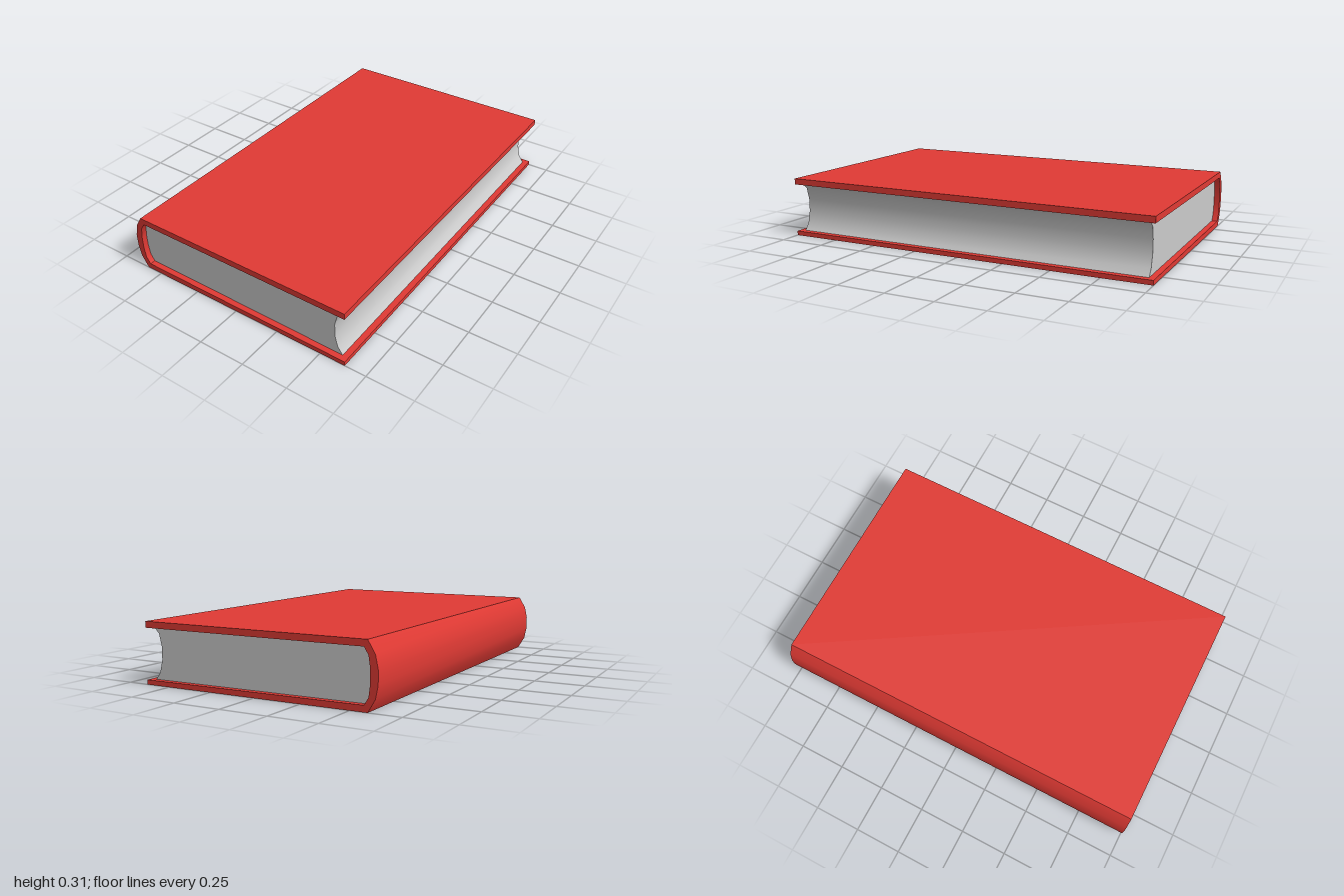
import * as THREE from 'three';
import { toCreasedNormals } from 'three/addons/utils/BufferGeometryUtils.js';

// Extrude an x/y profile along z, centred, smooth across the shallow curve facets only
function prism(name, points, length, color) {
  const shape = new THREE.Shape(points.map(([x, y]) => new THREE.Vector2(x, y)));
  const geometry = new THREE.ExtrudeGeometry(shape, { depth: length, bevelEnabled: false });
  geometry.translate(0, 0, -length / 2);
  const mesh = new THREE.Mesh(
    toCreasedNormals(geometry, Math.PI / 6),
    new THREE.MeshStandardMaterial({ color })
  );
  mesh.name = name;
  return mesh;
}

export function createModel() {
  const book = new THREE.Group();
  book.name = 'book';

  // Rounded spine, outside and inside, from top to bottom
  const spineOuter = [[-0.588, 0.313], [-0.625, 0.252], [-0.638, 0.19], [-0.638, 0.123], [-0.625, 0.061], [-0.588, 0]];
  const spineInner = [[-0.57, 0.281], [-0.592, 0.247], [-0.6, 0.19], [-0.6, 0.123], [-0.592, 0.066], [-0.57, 0.031]];

  // Hollow fore edge of the pages, from bottom to top
  const foreEdge = [[0.606, 0.0235], [0.579, 0.061], [0.564, 0.123], [0.564, 0.19], [0.579, 0.252], [0.606, 0.281]];

  // Cover: both boards and the spine as one wrapped profile
  const cover = [
    ...spineOuter,
    [0.637, 0], [0.637, 0.0235],
    ...spineInner.slice().reverse(),
    [0.637, 0.281], [0.637, 0.313],
  ];
  book.add(prism('cover', cover, 2, 0xe03a34));

  // Page block, set in a little at the head and tail
  book.add(prism('pages', [...spineInner, ...foreEdge], 1.94, 0xcccccc));

  return book;
}
